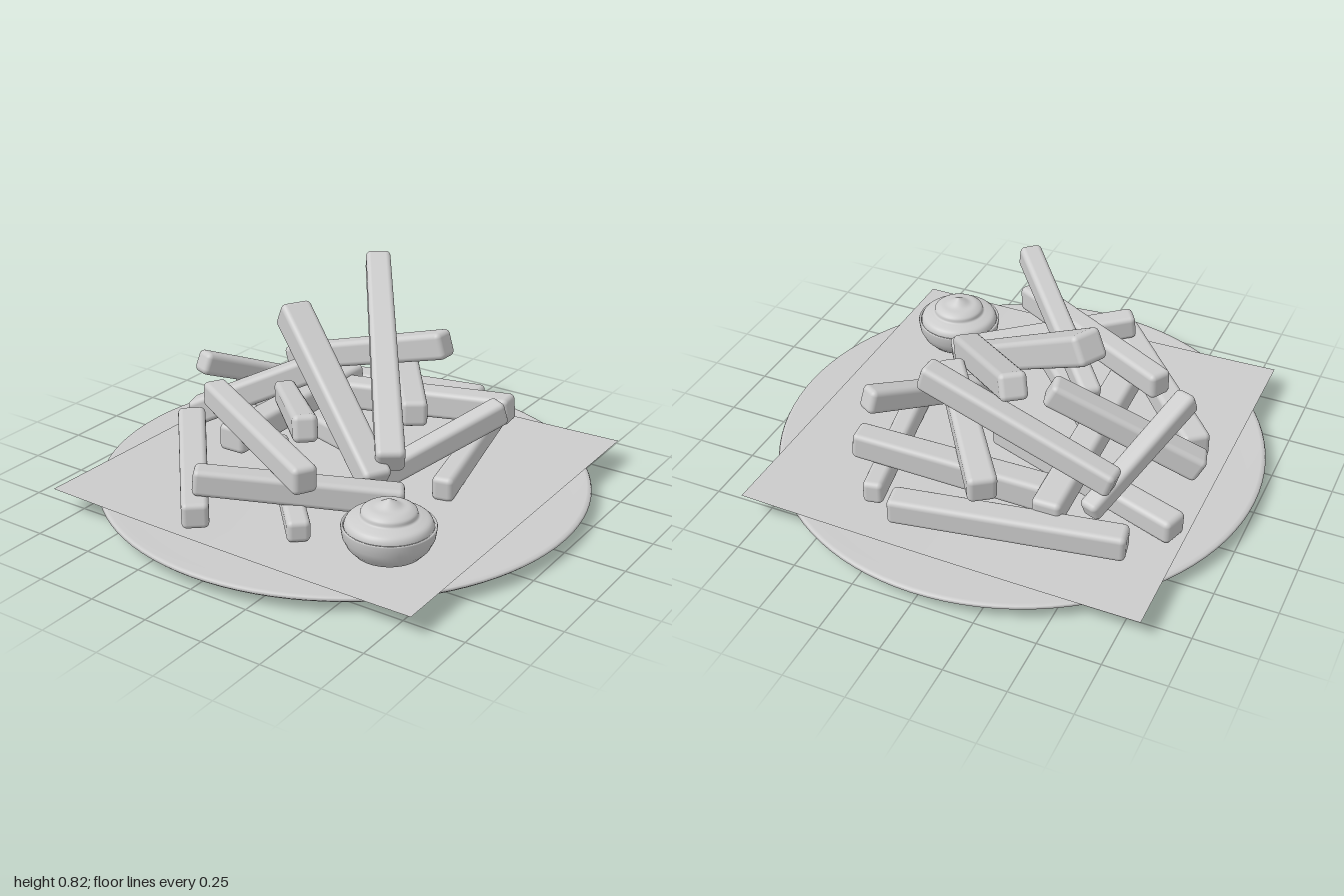
import * as THREE from 'three';
import { RoundedBoxGeometry } from 'three/addons/geometries/RoundedBoxGeometry.js';

const material = new THREE.MeshStandardMaterial({ color: 0xcccccc, side: THREE.DoubleSide });

// Fries: centre of one end, centre of the other end, width, height
const FRIES = [
  [[-0.67, 0.17, -0.55], [0.23, 0.18, -0.72], 0.11, 0.11],
  [[0.33, 0.16, -0.68], [0.48, 0.13, 0.04], 0.085, 0.1],
  [[-0.36, 0.19, -0.43], [0.48, 0.27, -0.52], 0.11, 0.12],
  [[-0.56, 0.31, -0.41], [0.25, 0.56, -0.37], 0.095, 0.11],
  [[-0.35, 0.22, -0.58], [-0.33, 0.25, 0.33], 0.12, 0.11],
  [[-0.13, 0.31, -0.65], [0.29, 0.37, -0.06], 0.11, 0.11],
  [[-0.23, 0.78, -0.59], [0.35, 0.28, 0.21], 0.11, 0.11],
  [[-0.8, 0.14, -0.37], [0.06, 0.15, -0.09], 0.11, 0.1],
  [[-0.77, 0.15, 0.01], [-0.18, 0.46, -0.15], 0.105, 0.11],
  [[-0.48, 0.19, -0.47], [-0.68, 0.42, 0.07], 0.085, 0.09],
  [[-0.72, 0.16, 0.1], [-0.15, 0.15, 0.78], 0.11, 0.11],
  [[-0.53, 0.36, 0.18], [0.24, 0.34, 0.61], 0.1, 0.11],
  [[-0.22, 0.26, 0.7], [0.45, 0.18, 0.27], 0.1, 0.11],
  [[-0.33, 0.67, -0.1], [0.32, 0.21, 0.26], 0.125, 0.12],
  [[-0.3, 0.35, 0.0], [0.24, 0.55, 0.61], 0.09, 0.1],
  [[-0.3, 0.14, 0.06], [0.22, 0.13, 0.63], 0.09, 0.09],
  [[0.52, 0.34, -0.36], [0.2, 0.13, 0.21], 0.085, 0.1],
];

function makeFry([from, to, width, height], index) {
  const a = new THREE.Vector3(...from);
  const b = new THREE.Vector3(...to);
  const length = a.distanceTo(b);
  const geometry = new RoundedBoxGeometry(width, height, length, 3, 0.022);
  // Slight taper, different for every fry
  const taper = 0.06 * Math.sin(index * 2.3);
  const p = geometry.attributes.position;
  for (let i = 0; i < p.count; i++) {
    const s = 1 + taper * (p.getZ(i) / length) * 2;
    p.setXY(i, p.getX(i) * s, p.getY(i) * s);
  }
  const fry = new THREE.Mesh(geometry, material);
  fry.name = 'fry' + (index + 1);
  fry.position.copy(a).add(b).multiplyScalar(0.5);
  fry.lookAt(b);
  return fry;
}

function lathe(name, points, segments = 64) {
  const profile = points.map(([x, y]) => new THREE.Vector2(x, y));
  const mesh = new THREE.Mesh(new THREE.LatheGeometry(profile, segments), material);
  mesh.name = name;
  return mesh;
}

export function createModel() {
  const model = new THREE.Group();
  model.name = 'plateOfFries';

  // Shallow round plate
  model.add(lathe('plate', [
    [0, 0], [0.55, 0.003], [0.78, 0.016], [0.94, 0.035], [0.99, 0.044], [1, 0.053],
    [0.995, 0.062], [0.98, 0.065], [0.93, 0.06], [0.7, 0.055], [0, 0.055],
  ], 96));

  // Thin square sheet, very slightly wavy
  const sheet = new THREE.PlaneGeometry(1.66, 1.66, 12, 12).rotateX(-Math.PI / 2);
  const p = sheet.attributes.position;
  for (let i = 0; i < p.count; i++) {
    const x = p.getX(i), z = p.getZ(i);
    p.setY(i, 0.084 + 0.01 * x * x - 0.012 * x * z);
  }
  sheet.computeVertexNormals();
  const paper = new THREE.Mesh(sheet, material);
  paper.name = 'paperSheet';
  model.add(paper);

  // Pile of fries
  const pile = new THREE.Group();
  pile.name = 'friesPile';
  FRIES.forEach((f, i) => pile.add(makeFry(f, i)));
  model.add(pile);

  // Dip bowl with a swirled dollop
  const dip = new THREE.Group();
  dip.name = 'dipBowl';
  dip.position.set(0.53, 0, 0.5);
  dip.add(lathe('bowl', [
    [0, 0.088], [0.1, 0.088], [0.13, 0.098], [0.155, 0.125], [0.172, 0.16], [0.178, 0.2],
    [0.176, 0.206], [0.168, 0.204], [0.162, 0.17], [0.12, 0.15], [0, 0.15],
  ]));
  const swirl = new THREE.SplineCurve([
    [0.155, 0.17], [0.166, 0.2], [0.155, 0.226], [0.125, 0.238], [0.108, 0.244],
    [0.103, 0.262], [0.08, 0.276], [0.05, 0.281], [0.025, 0.295], [0, 0.31],
  ].map(([x, y]) => new THREE.Vector2(x, y)));
  dip.add(lathe('dollop', swirl.getPoints(36).map((v) => [Math.max(v.x, 0), v.y])));
  model.add(dip);

  return model;
}
